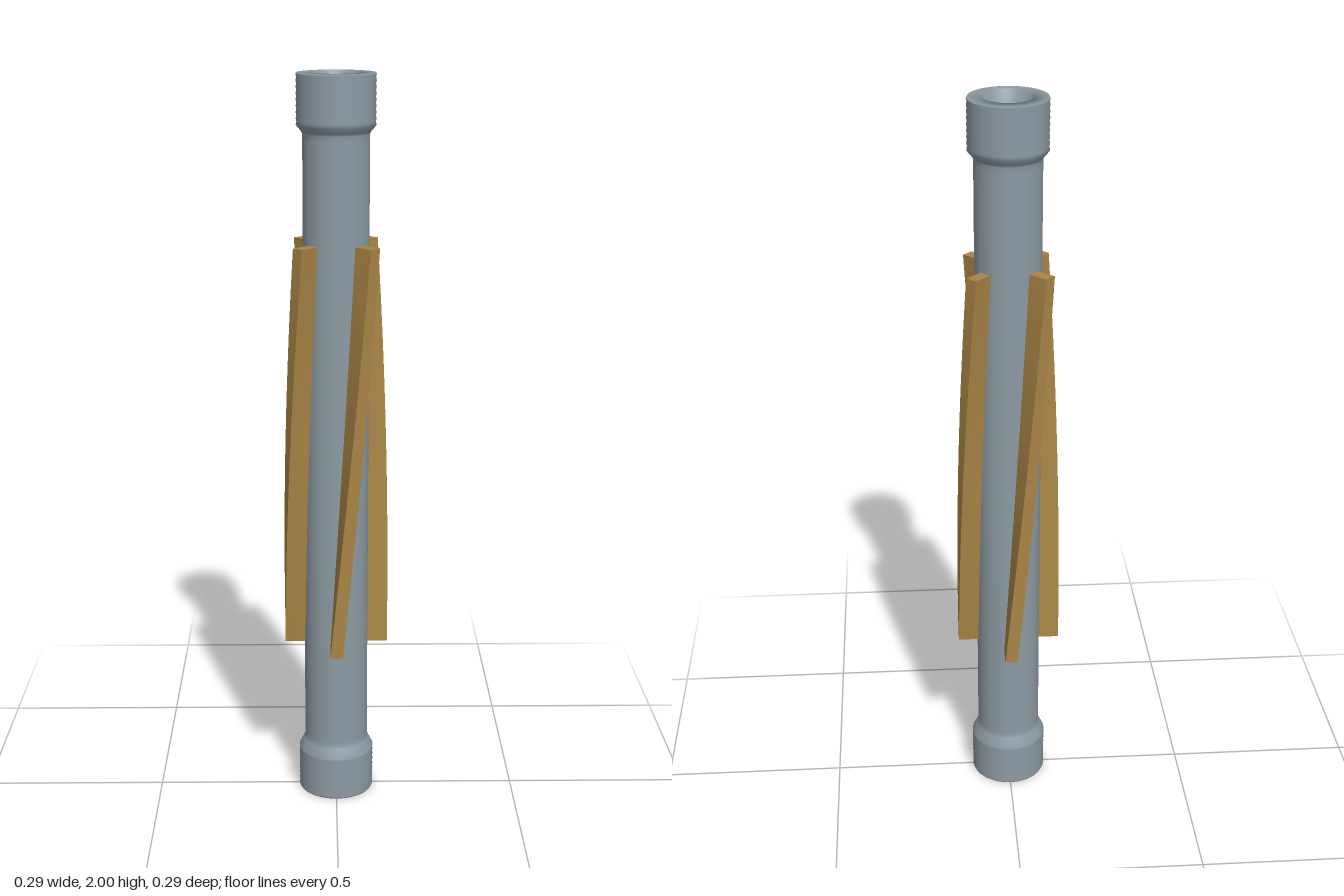
import * as THREE from 'three';

const steel = new THREE.MeshStandardMaterial({ name: 'steel grey', color: 0x8c9aa3 });
const brass = new THREE.MeshStandardMaterial({ name: 'brass brown', color: 0xa88445 });

const BODY_R = 0.0875, END_R = 0.104, BORE_R = 0.035;

// Fine grooves between two heights on a threaded end
function grooves(y0, y1, count) {
  const pts = [[END_R, y0]];
  const pitch = (y1 - y0) / count;
  for (let i = 0; i < count; i++) {
    pts.push([END_R - 0.002, y0 + (i + 0.5) * pitch], [END_R, y0 + (i + 1) * pitch]);
  }
  return pts;
}

// Hollow shaft with thicker grooved ends and a funnel at the top
function makeShaft() {
  const profile = [
    [BORE_R, 0],
    [END_R - 0.002, 0],
    ...grooves(0.004, 0.122, 8),
    [BODY_R + 0.003, 0.148],
    [BODY_R, 0.156],
    [BODY_R, 0.17],
    [BODY_R, 1.83],
    [BODY_R, 1.846],
    [BODY_R + 0.003, 1.852],
    ...grooves(1.868, 1.996, 8),
    [END_R - 0.002, 2],
    [0.065, 2],
    [BORE_R, 1.88],
    [BORE_R, 1.86],
    [BORE_R, 0],
  ].map(([r, y]) => new THREE.Vector2(r, y));
  const geo = new THREE.LatheGeometry(profile, 64);

  // The bore is eight-sided: pull its rings in onto an octagon
  const pos = geo.attributes.position;
  const step = Math.PI / 4;
  for (let i = 0; i < pos.count; i++) {
    const x = pos.getX(i), z = pos.getZ(i);
    if (Math.hypot(x, z) > 0.04) continue;
    const a = Math.atan2(x, z) + Math.PI * 2 + 1e-6;
    const k = Math.cos(step / 2) / Math.cos((a % step) - step / 2);
    pos.setX(i, x * k);
    pos.setZ(i, z * k);
  }
  const shaft = new THREE.Mesh(geo, steel);
  shaft.name = 'shaft';
  return shaft;
}

// Bar that winds an eighth of a turn around the shaft as it rises
function makeBladeGeometry() {
  const bottom = 0.445, height = 1.118, depth = 0.072;
  const geo = new THREE.BoxGeometry(0.034, height, depth, 1, 48, 1);
  geo.translate(0, height / 2, 0.1415 - depth / 2);
  const pos = geo.attributes.position;
  const v = new THREE.Vector3();
  const up = new THREE.Vector3(0, 1, 0);
  for (let i = 0; i < pos.count; i++) {
    v.fromBufferAttribute(pos, i);
    v.applyAxisAngle(up, (v.y / height) * Math.PI / 4);
    pos.setXYZ(i, v.x, v.y + bottom, v.z);
  }
  geo.computeVertexNormals();
  return geo;
}

export function createModel() {
  const model = new THREE.Group();
  model.name = 'stabilizer';
  model.add(makeShaft());

  // Four equal spiral blades
  const bladeGeo = makeBladeGeometry();
  for (let i = 0; i < 4; i++) {
    const blade = new THREE.Mesh(bladeGeo, brass);
    blade.name = 'spiralBlade' + (i + 1);
    blade.rotation.y = i * Math.PI / 2;
    model.add(blade);
  }
  return model;
}
